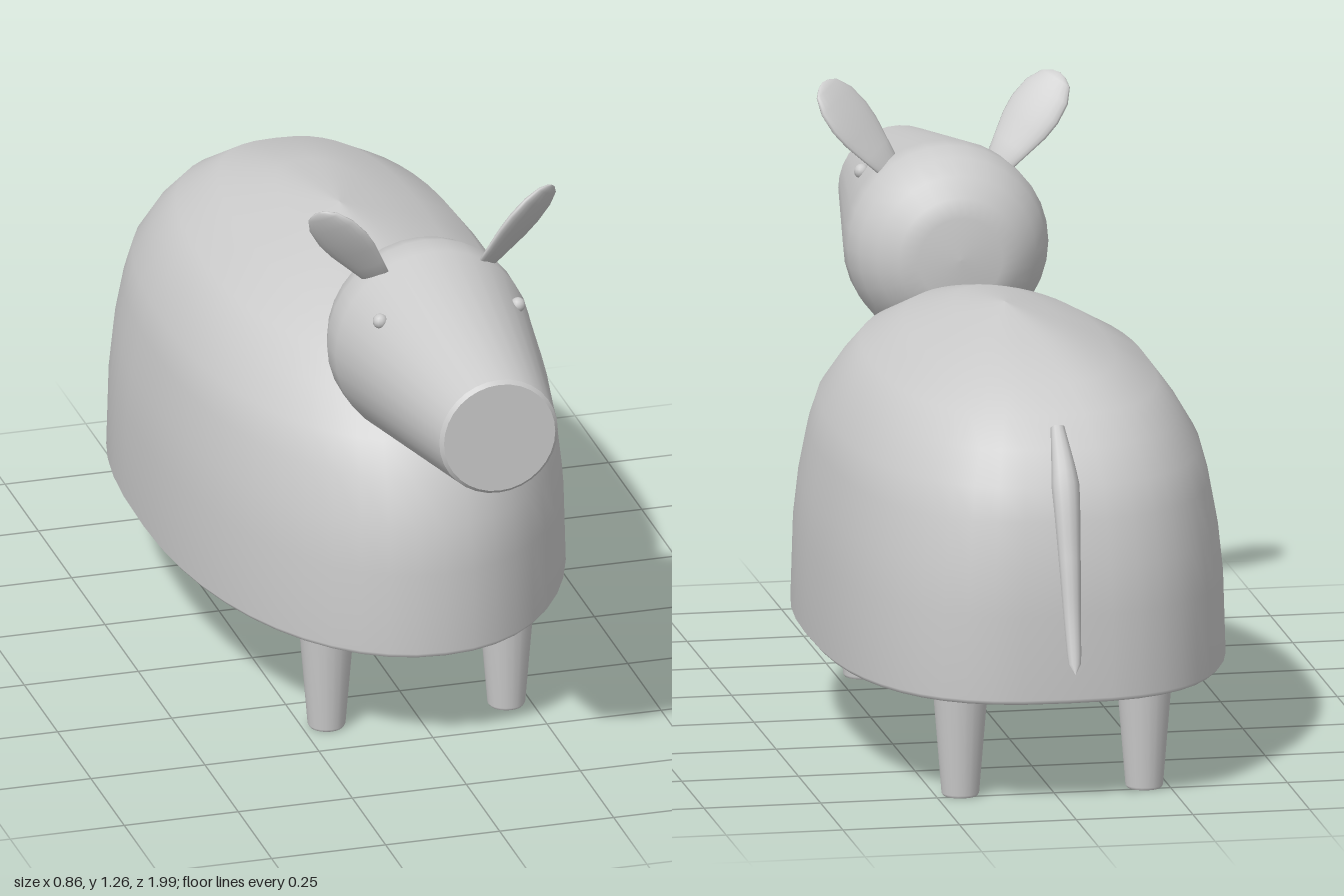
import * as THREE from 'three';

const material = new THREE.MeshStandardMaterial({ color: 0xcccccc });
const thin = new THREE.MeshStandardMaterial({ color: 0xcccccc, side: THREE.DoubleSide });

function part(name, geometry, mat = material) {
  const mesh = new THREE.Mesh(geometry, mat);
  mesh.name = name;
  return mesh;
}

const lathe = (profile, sides) =>
  new THREE.LatheGeometry(profile.map(([r, h]) => new THREE.Vector2(r, h)), sides);

// Domed body: horizontal rings, rounder at the front than at the back
function bodyGeometry() {
  const midZ = -0.2, sides = 48;
  // height, half width, front z, back z (a repeated ring keeps the edge sharp)
  const rings = [
    [0.23, 0, midZ, midZ],
    [0.23, 0.422, 0.593, -0.908],
    [0.23, 0.422, 0.593, -0.908],
    [0.24, 0.43, 0.6, -0.917],
    [0.42, 0.424, 0.6, -0.917],
    [0.52, 0.413, 0.585, -0.912],
    [0.62, 0.395, 0.55, -0.892],
    [0.69, 0.376, 0.5, -0.87],
    [0.76, 0.335, 0.42, -0.825],
    [0.82, 0.29, 0.345, -0.765],
    [0.87, 0.2, 0.235, -0.69],
    [0.91, 0.1, 0.06, -0.48],
    [0.935, 0, midZ, midZ],
  ];
  const positions = [], index = [];
  const power = (v, n) => Math.sign(v) * Math.abs(v) ** (2 / n);
  rings.forEach(([y, w, front, back], i) => {
    for (let j = 0; j < sides; j++) {
      const a = (j / sides) * Math.PI * 2;
      const ahead = Math.cos(a) > 0;
      const n = ahead ? 2.1 : 2.7;
      const depth = ahead ? front - midZ : midZ - back;
      positions.push(w * power(Math.sin(a), n), y, midZ + depth * power(Math.cos(a), n));
      if (i < rings.length - 1) {
        const p = i * sides + j, q = i * sides + ((j + 1) % sides);
        index.push(p, q, p + sides, q, q + sides, p + sides);
      }
    }
  });
  const g = new THREE.BufferGeometry();
  g.setAttribute('position', new THREE.Float32BufferAttribute(positions, 3));
  g.setIndex(index);
  g.computeVertexNormals();
  return g;
}

// Tail: a tube along a curve, thickest in its upper third and tapered to the tip
function tailGeometry() {
  const curve = new THREE.CatmullRomCurve3([
    [0.8, -0.79], [0.7, -0.875], [0.55, -0.925], [0.42, -0.957], [0.31, -0.99],
  ].map(([y, z]) => new THREE.Vector3(0, y, z)));
  const g = new THREE.TubeGeometry(curve, 24, 0.03, 12);
  const pos = g.attributes.position, uv = g.attributes.uv;
  const v = new THREE.Vector3();
  for (let i = 0; i < pos.count; i++) {
    const t = uv.getX(i);
    const c = curve.getPointAt(t);
    const size = Math.min(1, 0.5 + 2 * t, 1.2 - 0.75 * t) * Math.sqrt(Math.min(1, (1 - t) * 20));
    v.fromBufferAttribute(pos, i).sub(c).multiplyScalar(size);
    pos.setXYZ(i, c.x + v.x, c.y + v.y * 0.75, c.z + v.z * 0.75);
  }
  return g;
}

export function createModel() {
  const model = new THREE.Group();
  model.name = 'animal';
  model.add(part('body', bodyGeometry()));

  // Head: rounded at the back, tapering to a flat muzzle
  const head = part('head', lathe([
    [0, 0.293], [0.09, 0.297], [0.13, 0.312], [0.17, 0.345], [0.2, 0.39], [0.215, 0.44],
    [0.214, 0.5], [0.13, 0.992], [0.13, 0.992], [0.122, 1], [0.122, 1], [0, 1],
  ], 32).rotateX(Math.PI / 2));
  head.position.y = 0.908;
  model.add(head);

  // Ear: a flattened leaf, turned so its broad face looks outward and forward
  const earGeometry = lathe([
    [0, -0.025], [0.032, -0.02], [0.045, 0.03], [0.058, 0.08], [0.062, 0.12],
    [0.056, 0.165], [0.038, 0.198], [0.018, 0.21], [0, 0.214],
  ], 20).scale(1, 1, 0.24);
  const along = new THREE.Vector3(0.6, 0.79, 0.14).normalize();
  const face = new THREE.Vector3(0.44, -0.47, 0.76);
  const across = new THREE.Vector3().crossVectors(along, face).normalize();
  face.crossVectors(across, along);
  earGeometry.applyMatrix4(new THREE.Matrix4().makeBasis(across, along, face).setPosition(0.127, 1.083, 0.488));

  const eyeGeometry = new THREE.SphereGeometry(0.016, 12, 8).translate(0.151, 1.032, 0.62);
  const legGeometry = lathe([[0, 0], [0.036, 0], [0.036, 0], [0.04, 0.006], [0.061, 0.26]], 20);

  for (const [side, s] of [['left', 1], ['right', -1]]) {
    const ear = part(`${side}Ear`, earGeometry, thin);
    const eye = part(`${side}Eye`, eyeGeometry);
    ear.scale.x = eye.scale.x = s;
    model.add(ear, eye);
    for (const [end, z] of [['Front', 0.375], ['Back', -0.73]]) {
      const leg = part(`${side}${end}Leg`, legGeometry);
      leg.position.set(s * 0.197, 0, z);
      model.add(leg);
    }
  }

  model.add(part('tail', tailGeometry(), thin));
  return model;
}
